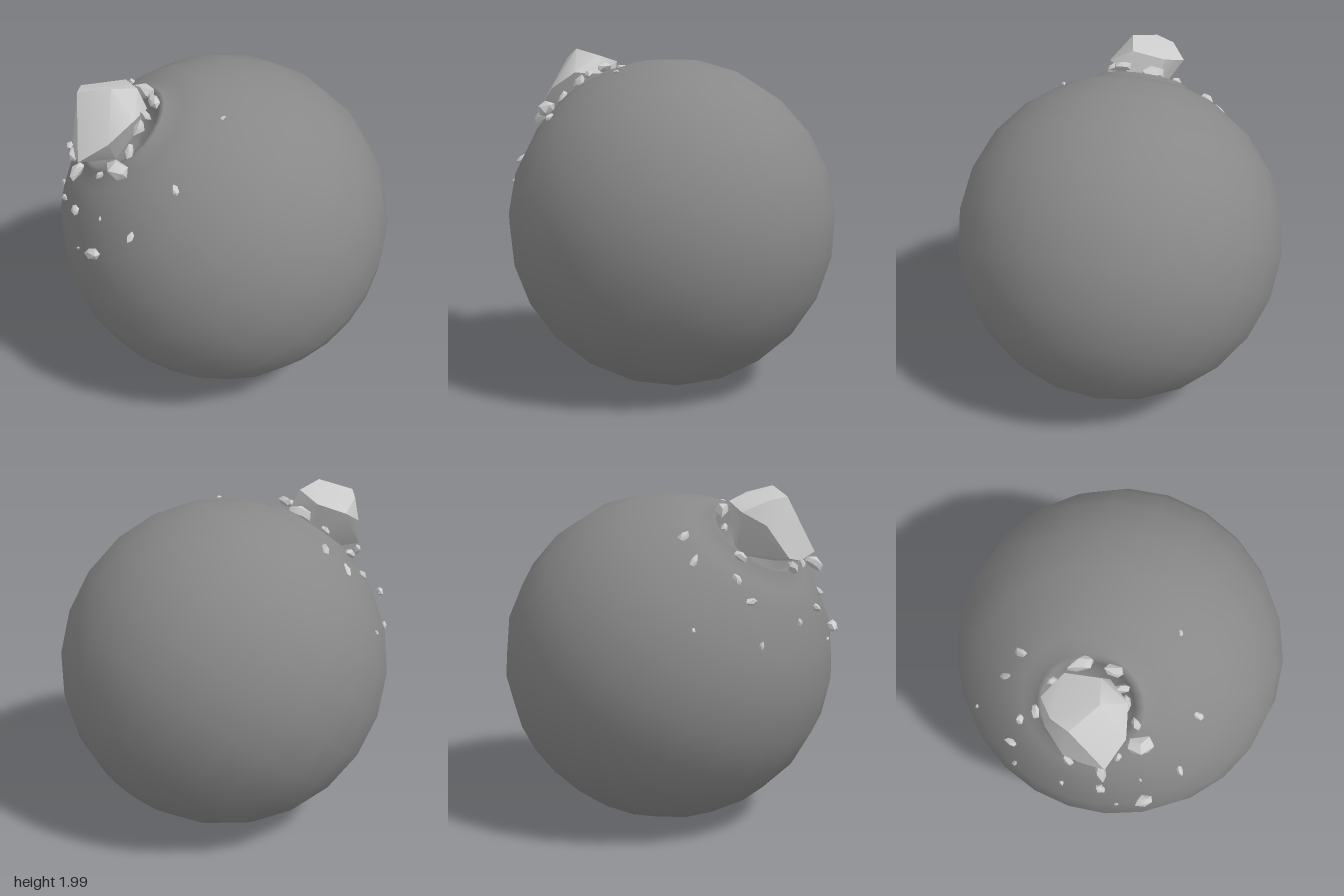
import * as THREE from 'three';
import { toCreasedNormals } from 'three/addons/utils/BufferGeometryUtils.js';
import { ConvexGeometry } from 'three/addons/geometries/ConvexGeometry.js';

const R = 0.975;
const CENTER = new THREE.Vector3(0, R, 0);
const IMPACT = new THREE.Vector3(-0.6, 0.79, 0.2).normalize();

let seed = 7;
const rand = () => (seed = (seed * 16807) % 2147483647) / 2147483647;

export function createModel() {
  const group = new THREE.Group();
  const groundMat = new THREE.MeshStandardMaterial({ color: 0x888888 });
  const rockMat = new THREE.MeshStandardMaterial({ color: 0xcccccc });

  const add = (name, geometry, material) => {
    const mesh = new THREE.Mesh(geometry, material);
    mesh.name = name;
    group.add(mesh);
    return mesh;
  };

  // Globe with a rimmed crater: [angle from the impact axis, radius] turned around that axis
  const profile = [];
  for (let a = 180; a >= 30; a -= 15) profile.push([a, R]);
  profile.push([23, 0.97], [19, 0.965], [17, 0.985], [15.5, 0.985], [14, 0.95], [12, 0.88], [7, 0.82], [0, 0.8]);
  const points = profile.map(([a, r]) => {
    const t = THREE.MathUtils.degToRad(a);
    return new THREE.Vector2(Math.max(0, r * Math.sin(t)), r * Math.cos(t));
  });
  points[0].x = 0;
  const globe = add('globe', new THREE.LatheGeometry(points, 24), groundMat);
  globe.position.copy(CENTER);
  globe.quaternion.setFromUnitVectors(new THREE.Vector3(0, 1, 0), IMPACT);

  // Large boulder lodged in the crater
  const corners = [
    [-0.6, 2, 0.28], [-0.79, 1.95, 0.22], [-0.47, 1.96, 0.2], [-0.54, 1.92, 0.02],
    [-0.7, 1.87, -0.02], [-0.8, 1.8, 0.07], [-0.84, 1.62, 0.2], [-0.79, 1.64, 0.43],
    [-0.62, 1.76, 0.45], [-0.48, 1.86, 0.37], [-0.42, 1.85, 0.22], [-0.82, 1.6, 0.3],
    [-0.5, 1.62, 0.1], [-0.6, 1.58, 0.3], [-0.78, 1.93, 0.1],
  ].map((p) => new THREE.Vector3(...p));
  add('boulder', toCreasedNormals(new ConvexGeometry(corners), 0.75), rockMat);

  // Angular stone: convex hull of a jittered, stretched icosahedron
  const stone = (size) => {
    const pos = new THREE.IcosahedronGeometry(1, 0).attributes.position;
    const unique = new Map();
    for (let i = 0; i < pos.count; i++) {
      const v = new THREE.Vector3().fromBufferAttribute(pos, i);
      const key = v.toArray().map((c) => Math.round(c * 100)).join();
      if (!unique.has(key)) unique.set(key, v.multiplyScalar(0.75 + 0.4 * rand()));
    }
    const hull = new ConvexGeometry([...unique.values()]);
    hull.scale(size * 0.65, size * 0.65, size * 1.15);
    return toCreasedNormals(hull, 0.6);
  };
  const scatter = (name, list) => {
    for (const [x, y, z, size] of list) {
      const mesh = add(name, stone(size), rockMat);
      mesh.position.set(x, y, z);
      mesh.lookAt(CENTER);
      mesh.rotateX(Math.PI / 2 + (rand() - 0.5));
      mesh.rotateY(rand() * Math.PI);
    }
  };

  // Chunks pushed up along the crater rim
  scatter('rimChunk', [
    [-0.44, 1.86, 0.05, 0.07], [-0.385, 1.89, 0.22, 0.05], [-0.73, 1.64, -0.05, 0.04],
    [-0.58, 1.78, -0.04, 0.035], [-0.58, 1.64, 0.51, 0.08], [-0.84, 1.57, 0.23, 0.04],
    [-0.8, 1.58, 0.41, 0.055], [-0.68, 1.565, 0.44, 0.03], [-0.46, 1.8, 0.35, 0.045],
    [-0.51, 1.71, 0.44, 0.04], [-0.43, 1.85, 0.3, 0.04],
  ]);

  // Smaller stones thrown across the ground
  scatter('debris', [
    [-0.81, 1.29, -0.42, 0.02], [-0.65, 1.62, -0.3, 0.04], [-0.53, 1.74, -0.28, 0.042],
    [-0.79, 1.53, -0.12, 0.033], [-0.9, 1.42, -0.11, 0.038], [-0.95, 1.19, -0.08, 0.024],
    [-0.91, 1.28, 0.22, 0.025], [-0.73, 1.19, 0.64, 0.048], [-0.51, 1.36, 0.73, 0.03],
    [-0.27, 1.62, 0.68, 0.03], [-0.015, 1.88, 0.39, 0.018], [-0.68, 1.38, 0.585, 0.013],
    [-0.83, 1.33, 0.42, 0.035], [-0.82, 1.14, 0.52, 0.014],
  ]);

  return group;
}
